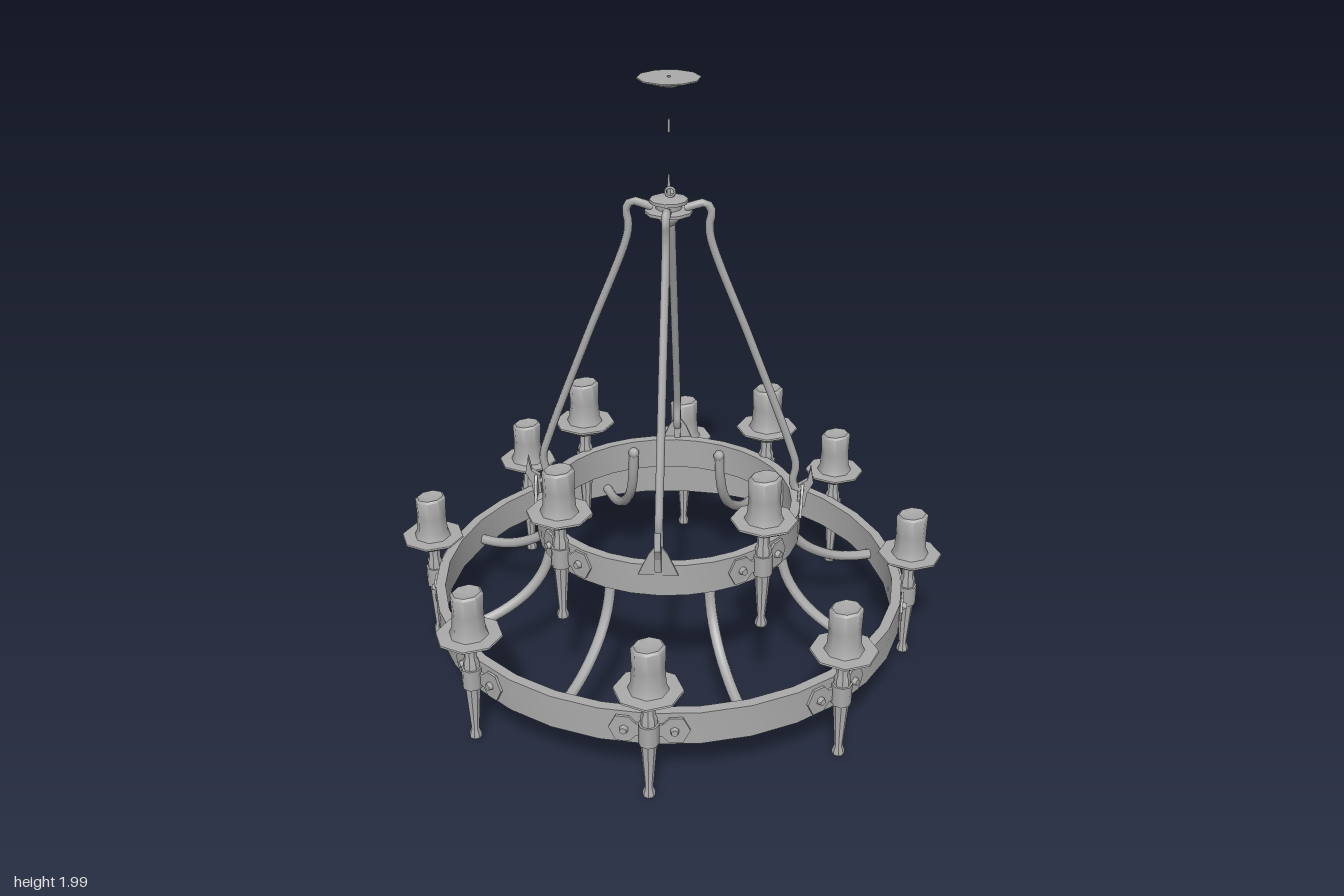
import * as THREE from 'three';
import { toCreasedNormals } from 'three/addons/utils/BufferGeometryUtils.js';

const iron = new THREE.MeshStandardMaterial({ color: 0xaaaaaa });
iron.name = 'grey iron';

const v2 = (pts) => pts.map(([x, y]) => new THREE.Vector2(x, y));

function mesh(name, geometry, x = 0, y = 0, z = 0) {
  const m = new THREE.Mesh(geometry, iron);
  m.name = name;
  m.position.set(x, y, z);
  return m;
}

function lathe(pts, sides, crease = 0.7) {
  return toCreasedNormals(new THREE.LatheGeometry(v2(pts), sides), crease);
}

// Tube in the radial plane, points given as [radius, height]
function radialTube(pts, r, segments) {
  const curve = new THREE.CatmullRomCurve3(pts.map(([d, y]) => new THREE.Vector3(0, y, d)));
  return new THREE.TubeGeometry(curve, segments, r, 7);
}

// Thin outline wrapped around a ring of radius R, facing +z
function wrappedPlate(pts, R, depth = 0.008) {
  const g = new THREE.ExtrudeGeometry(new THREE.Shape(v2(pts)), { depth, bevelEnabled: false });
  const p = g.attributes.position;
  for (let i = 0; i < p.count; i++) {
    const a = p.getX(i) / R, d = R + p.getZ(i);
    p.setXYZ(i, Math.sin(a) * d, p.getY(i), Math.cos(a) * d);
  }
  g.computeVertexNormals();
  return g;
}

// Flat band with a rectangular section
function band(name, outer, inner, y0, y1) {
  return mesh(name, lathe([[outer, y0], [outer, y1], [inner, y1], [inner, y0], [outer, y0]], 32));
}

const stemGeo = lathe([[0, 0.01], [0.02, 0.014], [0.02, 0.026], [0.013, 0.045], [0.024, 0.19],
  [0.026, 0.3], [0.02, 0.315], [0.022, 0.37]], 8);
const dishGeo = lathe([[0.02, 0.35], [0.06, 0.368], [0.106, 0.397], [0.104, 0.402], [0.06, 0.403], [0, 0.405]], 8);
const candleGeo = lathe([[0.064, 0.398], [0.053, 0.425], [0.05, 0.48], [0.052, 0.545], [0.044, 0.552], [0, 0.542]], 8);
// Uneven, melted candle rim
{
  const p = candleGeo.attributes.position;
  for (let i = 0; i < p.count; i++) {
    if (p.getY(i) > 0.53) p.setY(i, p.getY(i) + p.getX(i) * 0.08 - p.getZ(i) * 0.05);
  }
  candleGeo.computeVertexNormals();
}
const candleSmooth = toCreasedNormals(candleGeo, 0.9);

// Candle, drip dish, tapered holder and the strap bolting it to the ring
function candleHolder(ringR, candleR, y, angle) {
  const g = new THREE.Group();
  g.name = 'candleHolder';
  g.rotation.y = angle;
  g.position.y = y;
  g.add(mesh('holderStem', stemGeo, 0, 0, candleR));
  g.add(mesh('dripDish', dishGeo, 0, 0, candleR));
  const candle = mesh('candle', candleSmooth, 0, 0, candleR);
  candle.rotation.y = -angle;
  g.add(candle);
  g.add(mesh('collar', new THREE.CylinderGeometry(0.032, 0.032, 0.07, 8), 0, 0.242, candleR));
  for (const s of [-1, 1]) {
    const outline = [[0.02, -0.022], [0.04, -0.022], [0.06, -0.044], [0.1, -0.044], [0.122, 0],
      [0.1, 0.044], [0.06, 0.044], [0.04, 0.022], [0.02, 0.022]].map(([x, yy]) => [x * s, yy]);
    g.add(mesh('strapPlate', wrappedPlate(s > 0 ? outline : outline.reverse(), ringR - 0.001), 0, 0.24, 0));
    const a = (s * 0.075) / ringR, d = ringR + 0.009;
    const bolt = mesh('bolt', new THREE.CylinderGeometry(0.011, 0.016, 0.022, 6).rotateX(Math.PI / 2),
      Math.sin(a) * d, 0.24, Math.cos(a) * d);
    bolt.rotation.y = a;
    g.add(bolt);
  }
  return g;
}

export function createModel() {
  const model = new THREE.Group();
  model.name = 'chandelier';

  // Two ring bands
  model.add(band('lowerRing', 0.79, 0.757, 0.185, 0.297));
  model.add(band('upperRing', 0.44, 0.408, 0.48, 0.588));

  // Eight candles below, four above
  for (let i = 0; i < 8; i++) model.add(candleHolder(0.79, 0.81, 0, (i * Math.PI) / 4));
  for (let i = 0; i < 4; i++) model.add(candleHolder(0.44, 0.452, 0.295, (i * Math.PI) / 2));

  // Curved struts joining the rings
  const strutGeo = radialTube([[0.765, 0.215], [0.69, 0.22], [0.6, 0.245], [0.5, 0.305],
    [0.435, 0.385], [0.408, 0.47], [0.4, 0.55]], 0.018, 18);
  const knobGeo = new THREE.SphereGeometry(0.02, 7, 5);
  for (let i = 0; i < 8; i++) {
    const g = new THREE.Group();
    g.name = 'strut';
    g.rotation.y = Math.PI / 8 + (i * Math.PI) / 4;
    g.add(mesh('strutBar', strutGeo), mesh('strutKnob', knobGeo, 0, 0.55, 0.398));
    model.add(g);
  }

  // Four hanging rods with pointed ring brackets
  const rodGeo = radialTube([[0.45, 0.64], [0.425, 0.63], [0.41, 0.66], [0.418, 0.72], [0.395, 0.8],
    [0.26, 1.16], [0.13, 1.5], [0.126, 1.55], [0.132, 1.585], [0.115, 1.612], [0.085, 1.607], [0.05, 1.595]], 0.0135, 60);
  const bracketPts = [[-0.062, -0.025], [0.062, -0.025], [0.03, 0.05], [0.012, 0.075], [-0.012, 0.075], [-0.03, 0.05]];
  const hornShape = new THREE.Shape(v2([[0.425, 0.57], [0.452, 0.57], [0.458, 0.62], [0.478, 0.66], [0.468, 0.72],
    [0.458, 0.67], [0.43, 0.65]]));
  const hornGeo = new THREE.ExtrudeGeometry(hornShape, { depth: 0.02, bevelEnabled: false })
    .translate(0, 0, -0.01).rotateY(-Math.PI / 2);
  for (let i = 0; i < 4; i++) {
    const g = new THREE.Group();
    g.name = 'hangingRod';
    g.rotation.y = Math.PI / 4 + (i * Math.PI) / 2;
    g.add(mesh('rod', rodGeo));
    g.add(mesh('ringBracket', wrappedPlate(bracketPts, 0.438, 0.009), 0, 0.58, 0));
    g.add(mesh('bracketHorn', hornGeo));
    model.add(g);
  }

  // Hub with a drop finial
  model.add(mesh('hub', lathe([[0, 1.53], [0.02, 1.54], [0.035, 1.56], [0.035, 1.572], [0.075, 1.578], [0.075, 1.588],
    [0.04, 1.592], [0.04, 1.608], [0.06, 1.612], [0.06, 1.622], [0.015, 1.628], [0, 1.63]], 10)));
  // Hanging eye, loose chain link and ceiling hook
  model.add(mesh('hubSpike', new THREE.CylinderGeometry(0.003, 0.008, 0.08, 6), 0, 1.66, 0));
  const eye = mesh('hubEye', new THREE.TorusGeometry(0.015, 0.004, 5, 10), 0.006, 1.645, 0);
  eye.rotation.y = Math.PI / 4;
  model.add(eye);
  model.add(mesh('chainLink', new THREE.CylinderGeometry(0.004, 0.004, 0.04, 6), 0, 1.85, 0));

  // Ceiling plate
  model.add(mesh('ceilingPlate', lathe([[0, 1.964], [0.03, 1.97], [0.096, 1.992], [0.096, 1.996], [0, 1.996]], 10)));
  model.add(mesh('ceilingStud', new THREE.CylinderGeometry(0.006, 0.006, 0.02, 6), 0, 1.99, 0));
  return model;
}
